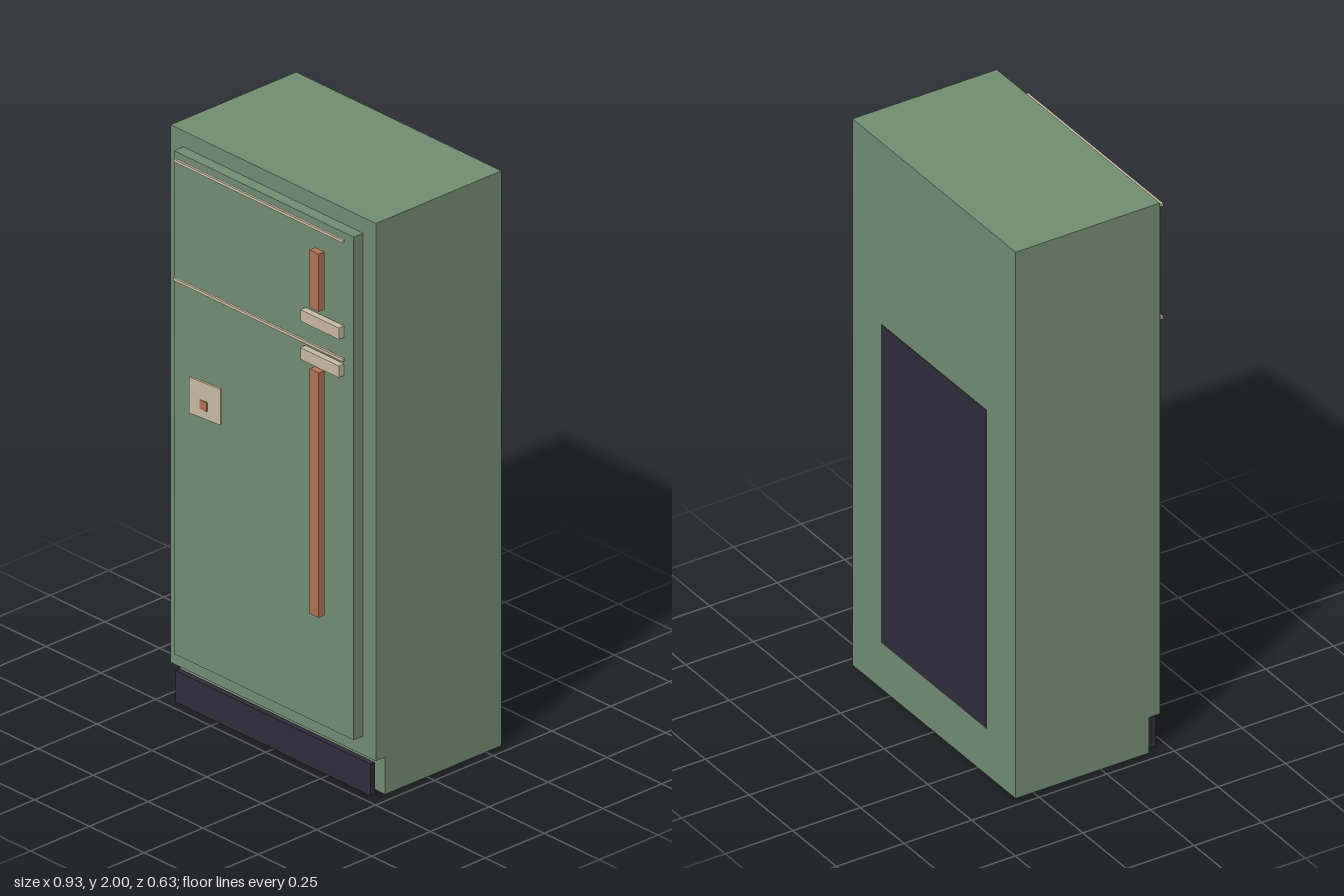
import * as THREE from 'three';

const paint = (name, color) => {
  const m = new THREE.MeshStandardMaterial({ color });
  m.name = name;
  return m;
};

export function createModel() {
  const group = new THREE.Group();
  group.name = 'refrigerator';

  const green = paint('sage green', 0x728d72);
  const dark = paint('dark charcoal', 0x302d3a);
  const cream = paint('cream', 0xc8baa3);
  const copper = paint('copper', 0xb07355);

  // Box given by its extents along each axis
  const block = (name, mat, [x0, x1], [y0, y1], [z0, z1]) => {
    const mesh = new THREE.Mesh(new THREE.BoxGeometry(x1 - x0, y1 - y0, z1 - z0), mat);
    mesh.position.set((x0 + x1) / 2, (y0 + y1) / 2, (z0 + z1) / 2);
    mesh.name = name;
    group.add(mesh);
    return mesh;
  };

  // Cabinet: side profile with a toe recess, extruded across the width
  const halfWidth = 0.467;
  const profile = new THREE.Shape([
    [-0.316, 0], [0.178, 0], [0.178, 0.13], [0.218, 0.13], [0.218, 2], [-0.316, 2],
  ].map(([z, y]) => new THREE.Vector2(-z, y)));
  const cabinetGeometry = new THREE.ExtrudeGeometry(profile, { depth: halfWidth * 2, bevelEnabled: false });
  cabinetGeometry.translate(0, 0, -halfWidth).rotateY(Math.PI / 2);
  const cabinet = new THREE.Mesh(cabinetGeometry, green);
  cabinet.name = 'cabinet';
  group.add(cabinet);

  // Door slab, kick plate and rear panel
  block('door', green, [-0.409, 0.409], [0.195, 1.945], [0.217, 0.258]);
  block('kickPlate', dark, [-0.444, 0.444], [0, 0.11], [0.199, 0.218]);
  block('rearPanel', dark, [-0.3, 0.3], [0.17, 1.335], [-0.3175, -0.315]);

  // Thin trim strips standing off the door
  for (const [name, y] of [['upperTrim', 1.929], ['lowerTrim', 1.516]]) {
    block(name, cream, [-0.387, 0.387], [y - 0.005, y + 0.005], [0.275, 0.283]);
  }

  // Handles with their mounting blocks
  block('freezerHandle', copper, [0.256, 0.298], [1.66, 1.86], [0.278, 0.303]);
  block('fridgeHandle', copper, [0.256, 0.298], [0.595, 1.447], [0.278, 0.303]);
  block('freezerHandleMount', cream, [0.19, 0.365], [1.58, 1.62], [0.257, 0.28]);
  block('fridgeHandleMount', cream, [0.19, 0.365], [1.447, 1.488], [0.257, 0.28]);

  // Slightly turned note held by a small magnet
  const note = block('note', cream, [-0.28, -0.15], [1.1, 1.225], [0.301, 0.309]);
  note.rotation.y = 0.1;
  block('noteMagnet', copper, [-0.235, -0.203], [1.13, 1.162], [0.303, 0.312]);

  return group;
}
